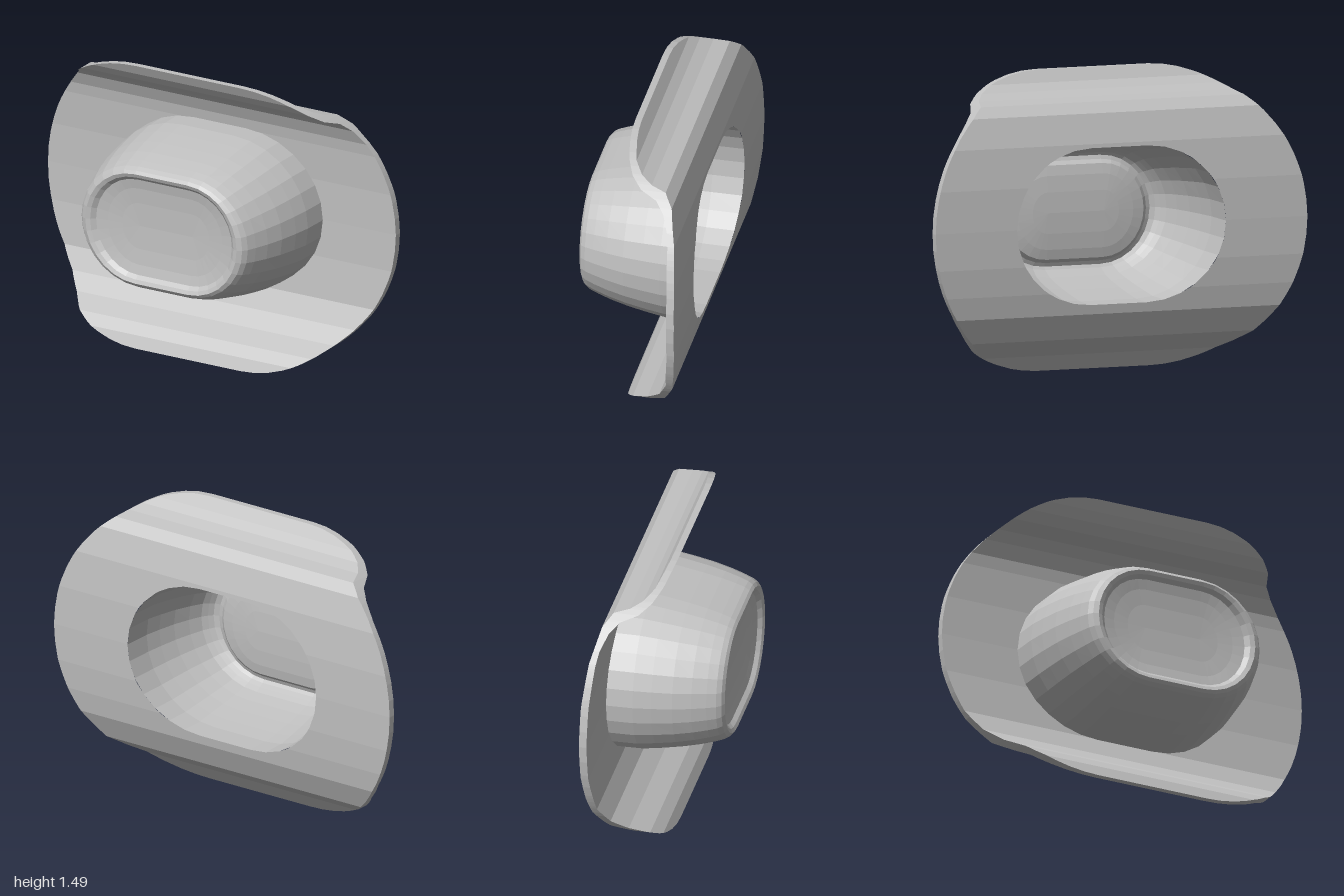
import * as THREE from 'three';

const CY = 0.742;            // height of the hat's centre line
const STRAIGHT = 0.15;       // half length of the crown's straight run
const SEG = 14;              // facets per rounded end

// rolled brim profile, [y, z], for its front and back surfaces
const FRONT = [[0, 0.05], [0.06, 0.025], [0.11, -0.02], [0.165, -0.11], [0.235, -0.185], [0.34, -0.235], [0.55, -0.258],
  [0.745, -0.262], [0.95, -0.258], [1.14, -0.243], [1.2, -0.232], [1.27, -0.2], [1.315, -0.155], [1.345, -0.07], [1.385, -0.015], [1.43, 0.022], [1.487, 0.052]];
const BACK = [[0, 0.018], [0.083, -0.05], [0.122, -0.114], [0.18, -0.2], [0.308, -0.262], [0.42, -0.282], [0.56, -0.296],
  [0.745, -0.3], [0.95, -0.296], [1.148, -0.276], [1.294, -0.237], [1.345, -0.193], [1.363, -0.118], [1.39, -0.06], [1.425, -0.018], [1.487, 0.02]];

// straight-line lookup along a profile
function lookup(table, y) {
  let i = 1;
  while (i < table.length - 1 && y > table[i][0]) i++;
  const [y0, z0] = table[i - 1], [y1, z1] = table[i];
  return z0 + (z1 - z0) * THREE.MathUtils.clamp((y - y0) / (y1 - y0), 0, 1);
}

// half width of an oblong at height y
function halfWidth(y, hw, hh, straight) {
  const t = (y - CY) / hh;
  return straight + (hw - straight) * Math.sqrt(Math.max(0, 1 - t * t));
}

function quad(out, a, b, c, d) {
  out.push(...a, ...b, ...c, ...a, ...c, ...d);
}

// the whole hat leans very slightly, rising towards its left
function toMesh(name, points, material) {
  for (let i = 0; i < points.length; i += 3) points[i + 1] += 0.015 * points[i] + 0.003;
  const geometry = new THREE.BufferGeometry();
  geometry.setAttribute('position', new THREE.Float32BufferAttribute(points, 3));
  geometry.computeVertexNormals();
  const mesh = new THREE.Mesh(geometry, material);
  mesh.name = name;
  return mesh;
}

// crown cross-sections from base to centre of the face: [z, half width, half height, straight]
const OUTER = [[null, 0.58, 0.405], [-0.13, 0.577, 0.404], [-0.04, 0.565, 0.39], [0.06, 0.547, 0.372], [0.15, 0.522, 0.352],
  [0.22, 0.497, 0.332], [0.265, 0.478, 0.316], [0.288, 0.46, 0.302], [0.3, 0.435, 0.287],
  [0.292, 0.412, 0.268], [0.272, 0.39, 0.25], [0.262, 0.33, 0.2], [0.255, 0.25, 0.12], [0.252, 0.15, 0.0]];
const WALL = 0.018;
const INNER = OUTER.map(([z, w, h], i) => [
  z === null ? null : z - (i > 5 ? 0.028 : 0.012),
  Math.max(STRAIGHT, w - WALL), Math.max(0, h - WALL)]);

// one closed oblong ring of the crown; the base follows the brim
function crownRing([z, hw, hh], brim) {
  const ring = [];
  for (const side of [1, -1]) {
    for (let i = 0; i <= SEG; i++) {
      const a = -Math.PI / 2 + Math.PI * i / SEG;
      const y = CY + side * hh * Math.sin(a);
      const x = side * (STRAIGHT + (hw - STRAIGHT) * Math.cos(a));
      ring.push([x, y, z === null ? lookup(brim, y) : z]);
    }
  }
  return ring;
}

function crownSurface(sections, brim, inward) {
  const out = [];
  const rings = sections.map(s => crownRing(s, brim));
  for (let r = 0; r < rings.length - 1; r++) {
    const lo = rings[r], hi = rings[r + 1];
    for (let i = 0; i < lo.length; i++) {
      const j = (i + 1) % lo.length;
      if (inward) quad(out, lo[j], lo[i], hi[i], hi[j]);
      else quad(out, lo[i], lo[j], hi[j], hi[i]);
    }
  }
  return out;
}

function brimSurface() {
  const HH = 0.742, holeW = INNER[0][1], holeH = INNER[0][2];
  // rows at every bend of the profile and along both rounded outlines
  const rows = [...FRONT, ...BACK].map(p => p[0]).filter(y => y < CY + HH);
  for (let i = 0; i <= 28; i++) rows.push(CY + HH * Math.sin(-Math.PI / 2 + Math.PI * i / 28));
  for (let i = 0; i <= SEG; i++) rows.push(CY + holeH * Math.sin(-Math.PI / 2 + Math.PI * i / SEG));
  rows.sort((a, b) => a - b);
  const ys = rows.filter((y, i) => i === 0 || y - rows[i - 1] > 1e-6);

  const out = [];
  const f = (x, y) => [x, y, lookup(FRONT, y)];
  const b = (x, y) => [x, y, lookup(BACK, y)];
  const edge = y => halfWidth(y, 1, HH, 0.3);
  for (let i = 0; i < ys.length - 1; i++) {
    const y0 = ys[i], y1 = ys[i + 1];
    const open = Math.abs((y0 + y1) / 2 - CY) < holeH;
    const h0 = open ? halfWidth(y0, holeW, holeH, STRAIGHT) : 0;
    const h1 = open ? halfWidth(y1, holeW, holeH, STRAIGHT) : 0;
    const e0 = edge(y0), e1 = edge(y1);
    // front and back faces on both sides of the head opening
    quad(out, f(h0, y0), f(e0, y0), f(e1, y1), f(h1, y1));
    quad(out, f(-e0, y0), f(-h0, y0), f(-h1, y1), f(-e1, y1));
    quad(out, b(e0, y0), b(h0, y0), b(h1, y1), b(e1, y1));
    quad(out, b(-h0, y0), b(-e0, y0), b(-e1, y1), b(-h1, y1));
    // outer rim
    quad(out, f(e0, y0), b(e0, y0), b(e1, y1), f(e1, y1));
    quad(out, b(-e0, y0), f(-e0, y0), f(-e1, y1), b(-e1, y1));
  }
  // straight ends of the rim
  const lo = ys[0], hi = ys[ys.length - 1], a = edge(lo), c = edge(hi);
  quad(out, b(-a, lo), b(a, lo), f(a, lo), f(-a, lo));
  quad(out, f(-c, hi), f(c, hi), b(c, hi), b(-c, hi));
  return out;
}

export function createModel() {
  const felt = new THREE.MeshStandardMaterial({ color: 0xc0c0c0, flatShading: true });
  felt.name = 'grey felt';
  const hat = new THREE.Group();
  hat.name = 'hat';
  hat.add(
    toMesh('brim', brimSurface(), felt),
    toMesh('crownOutside', crownSurface(OUTER, FRONT, false), felt),
    toMesh('crownInside', crownSurface(INNER, BACK, true), felt),
  );
  return hat;
}
